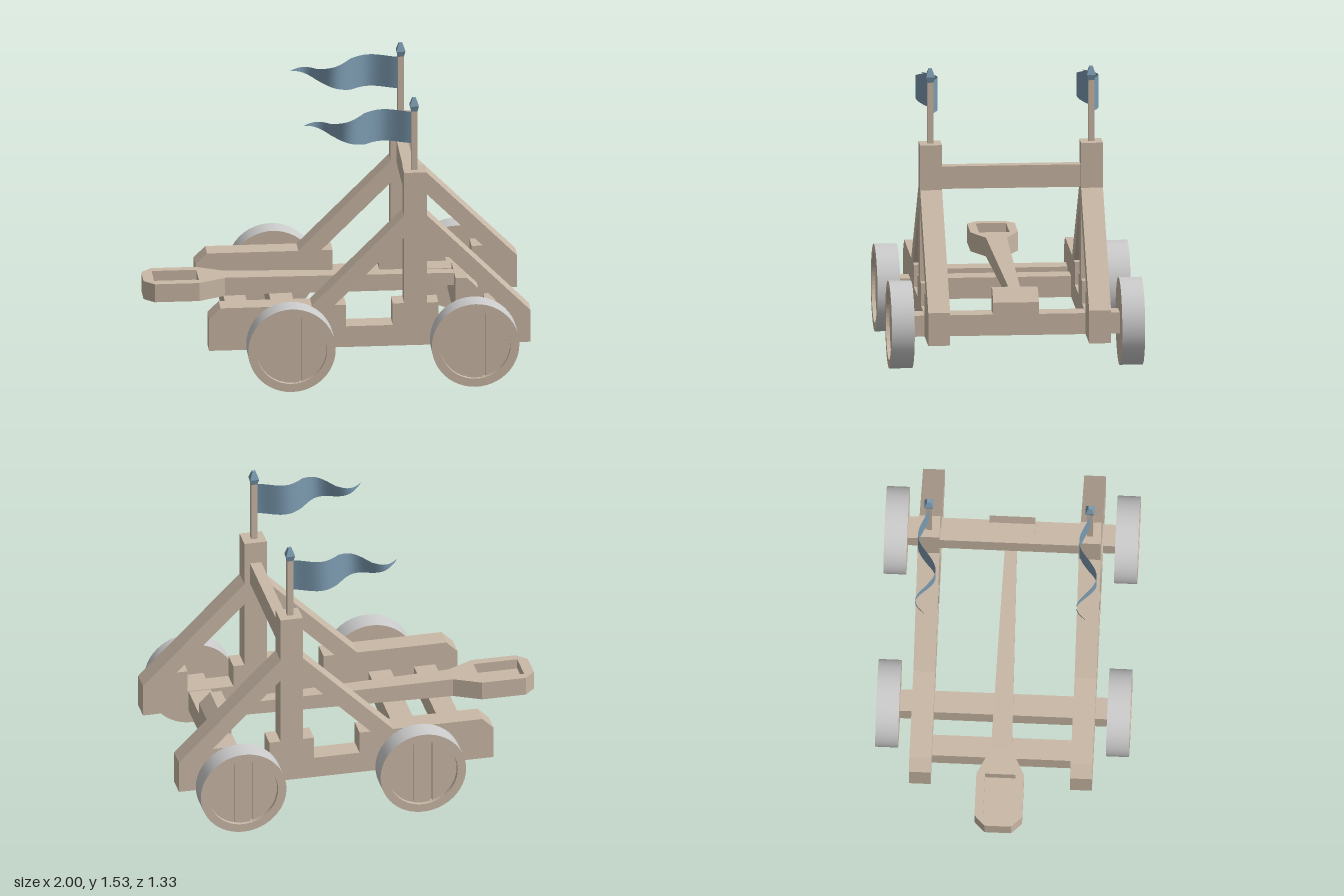
import * as THREE from 'three';

const wood = new THREE.MeshStandardMaterial({ color: 0xc9b8a6, flatShading: true });
const grey = new THREE.MeshStandardMaterial({ color: 0xcccccc });
const blue = new THREE.MeshStandardMaterial({ color: 0x7b9ab0, flatShading: true });
const cloth = new THREE.MeshStandardMaterial({ color: 0x7b9ab0, side: THREE.DoubleSide });

const FRAME_Z = 0.4225;
const AXLES = [-0.27, 0.695];

function add(parent, name, geometry, material = wood) {
  const mesh = new THREE.Mesh(geometry, material);
  mesh.name = name;
  parent.add(mesh);
  return mesh;
}

// Box given by its limits on each axis
function box(x0, x1, y0, y1, z0, z1) {
  return new THREE.BoxGeometry(x1 - x0, y1 - y0, z1 - z0)
    .translate((x0 + x1) / 2, (y0 + y1) / 2, (z0 + z1) / 2);
}

const shapeOf = (pts) => new THREE.Shape(pts.map(([x, y]) => new THREE.Vector2(x, y)));

// Extrusion centred on z = 0
function slab(shape, depth) {
  return new THREE.ExtrudeGeometry(shape, { depth, bevelEnabled: false }).translate(0, 0, -depth / 2);
}

// Side frame: notched rail, post and two diagonal braces in one outline
function sideFrameGeometry() {
  const shape = shapeOf([
    [-0.69, 0.18], [1, 0.18], [1, 0.355], [0.455, 0.9], [0.455, 1.14],
    [0.335, 1.14], [0.335, 0.9], [-0.15, 0.415], [-0.63, 0.415], [-0.69, 0.355],
  ]);
  const opening = (s) => new THREE.Path([
    [0.06, 0.78], [0.06, 0.415], [0.12, 0.415], [0.12, 0.295],
    [0.365, 0.295], [0.365, 0.415], [0.425, 0.415],
  ].map(([x, y]) => new THREE.Vector2(0.395 + s * x, y)));
  shape.holes.push(opening(1), opening(-1));
  return slab(shape, 0.115);
}

// Throwing arm with a scooped head, thinning toward the pivot
function armGeometry() {
  const half = [[-1, 0.07], [-0.945, 0.125], [-0.71, 0.125], [-0.57, 0.055], [0.66, 0.03]];
  const shape = shapeOf([...half.map(([x, z]) => [x, -z]), ...half.slice().reverse()]);
  shape.holes.push(new THREE.Path([[-0.945, -0.08], [-0.945, 0.08], [-0.71, 0.08], [-0.71, -0.08]]
    .map(([x, y]) => new THREE.Vector2(x, y))));
  const geo = slab(shape, 0.1).rotateX(-Math.PI / 2).translate(0, 0.38, 0);
  const p = geo.attributes.position;
  for (let i = 0; i < p.count; i++) {
    if (p.getX(i) > 0) p.setY(i, p.getY(i) > 0.38 ? 0.412 : 0.345);
  }
  geo.computeVertexNormals();
  return geo;
}

// Strip of a disc between x0 and x1
function plankGeometry(x0, x1, r) {
  const upper = [];
  for (let i = 0; i <= 10; i++) {
    const x = x0 + (x1 - x0) * i / 10;
    upper.push([x, Math.sqrt(Math.max(r * r - x * x, 0.0001))]);
  }
  const lower = upper.map(([x, y]) => [x, -y]);
  return slab(shapeOf([...lower, ...upper.reverse()]), 0.02);
}

// Wheel facing +z, inner face at z = 0
function makeWheel() {
  const wheel = new THREE.Group();
  wheel.name = 'wheel';
  const turned = (pts) => new THREE.LatheGeometry(
    pts.map(([r, h]) => new THREE.Vector2(r, h)), 48).rotateX(Math.PI / 2);
  add(wheel, 'wheelBack', turned([[0, 0], [0.23, 0]]));
  add(wheel, 'wheelFace', turned([[0.23, 0.12], [0.185, 0.12], [0.185, 0.085], [0, 0.085]]));
  add(wheel, 'tyre', new THREE.CylinderGeometry(0.23, 0.23, 0.12, 48, 1, true)
    .rotateX(Math.PI / 2).translate(0, 0, 0.06), grey);
  for (const [x0, x1] of [[-0.184, -0.051], [-0.045, 0.04], [0.053, 0.184]]) {
    add(wheel, 'wheelPlank', plankGeometry(x0, x1, 0.185).translate(0, 0, 0.09));
  }
  return wheel;
}

// Waving pennant trailing to -x from the pole
function pennantGeometry() {
  const geo = new THREE.PlaneGeometry(1, 1, 32, 1);
  const p = geo.attributes.position;
  const lerp = THREE.MathUtils.lerp;
  for (let i = 0; i < p.count; i++) {
    const t = 0.5 - p.getX(i);
    let top = 1.46, bottom = 1.285;
    if (t > 0.75) {
      const k = (t - 0.75) / 0.25;
      top = 1.4;
      bottom = lerp(1.337, 1.398, k);
    } else if (t > 0.4375) {
      const k = (t - 0.4375) / 0.3125;
      top = lerp(1.46, 1.4, k);
      bottom = lerp(1.285, 1.337, k);
    }
    const wave = -0.05 * Math.sin(3 * Math.PI * Math.pow(t, 1.3));
    p.setXYZ(i, 0.375 - 0.56 * t, p.getY(i) > 0 ? top : bottom, wave);
  }
  geo.computeVertexNormals();
  return geo;
}

function makeFlag() {
  const flag = new THREE.Group();
  flag.name = 'flag';
  add(flag, 'flagPole', box(0.376, 0.408, 1.14, 1.475, -0.016, 0.016));
  // Square finial
  const finial = [[0, 1.465], [0.016, 1.465], [0.0235, 1.495], [0.009, 1.538], [0, 1.538]]
    .map(([r, y]) => new THREE.Vector2(r * Math.SQRT2, y));
  add(flag, 'finial', new THREE.LatheGeometry(finial, 4, Math.PI / 4).translate(0.392, 0, 0), blue);
  add(flag, 'pennant', pennantGeometry(), cloth);
  return flag;
}

export function createModel() {
  const model = new THREE.Group();
  model.name = 'catapult';

  // Both sides: frame, flag and wheels
  for (const s of [1, -1]) {
    add(model, 'sideFrame', sideFrameGeometry()).position.z = s * FRAME_Z;
    const flag = makeFlag();
    flag.position.z = s * FRAME_Z;
    model.add(flag);
    for (const x of AXLES) {
      const wheel = makeWheel();
      wheel.position.set(x, 0.235, s * 0.545);
      if (s < 0) wheel.rotation.y = Math.PI;
      model.add(wheel);
    }
  }

  // Cross members
  for (const x of AXLES) add(model, 'axleBeam', box(x - 0.06, x + 0.06, 0.18, 0.292, -0.545, 0.545));
  add(model, 'rearBeam', box(-0.57, -0.455, 0.18, 0.292, -0.365, 0.365));
  add(model, 'upperBeam', box(0.365, 0.425, 0.9, 1.02, -0.365, 0.365));

  // Arm and its pivot block
  const pivot = [[0.635, 0.292], [0.755, 0.292], [0.755, 0.355], [0.695, 0.415], [0.635, 0.415]];
  add(model, 'pivotBlock', slab(shapeOf(pivot), 0.24));
  add(model, 'throwingArm', armGeometry());
  add(model, 'scoopFloor', box(-0.945, -0.71, 0.33, 0.375, -0.08, 0.08));

  return model;
}
